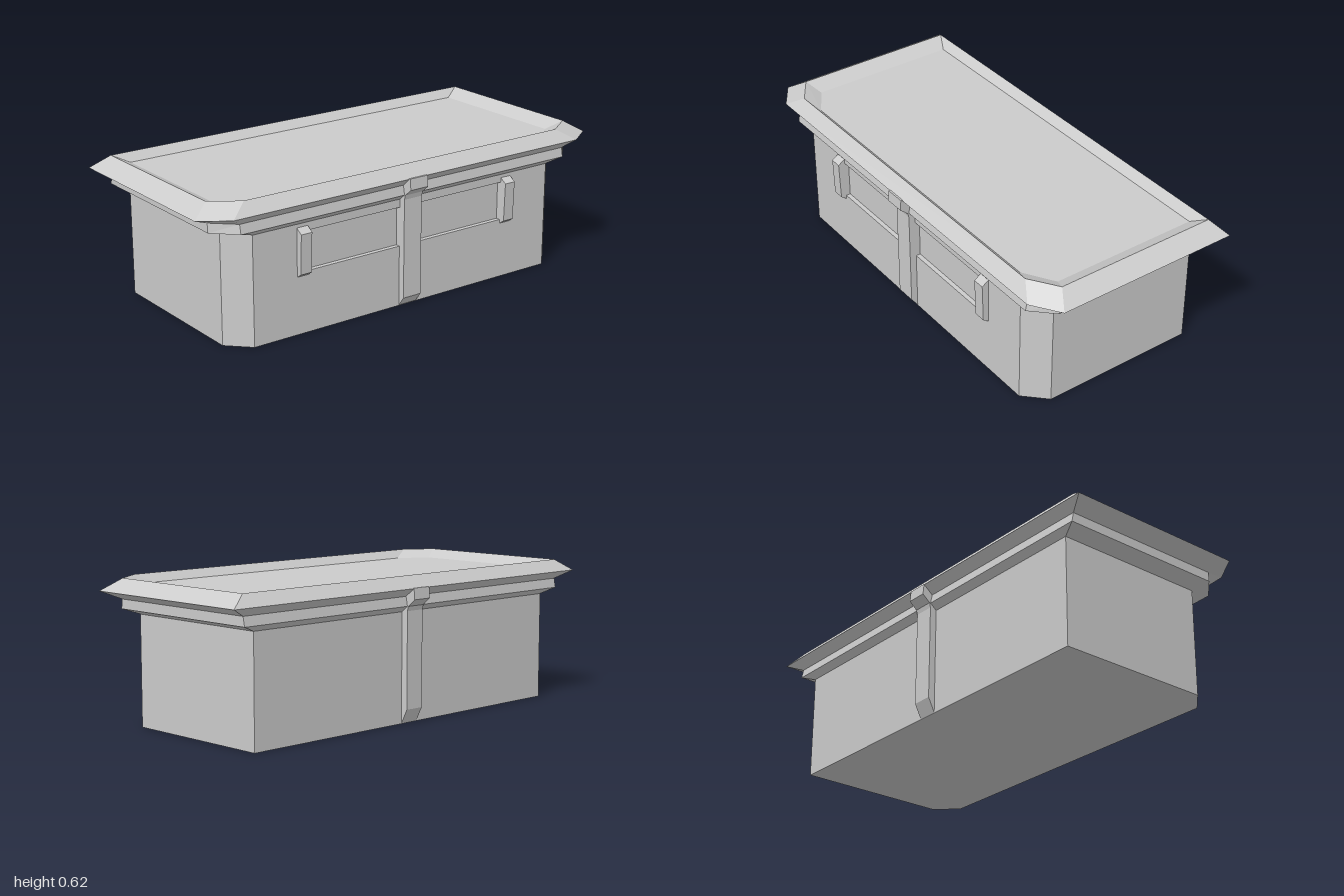
import * as THREE from 'three';

const material = new THREE.MeshStandardMaterial({ color: 0xcccccc, flatShading: true });

function addMesh(parent, name, geometry) {
  const mesh = new THREE.Mesh(geometry, material);
  mesh.name = name;
  parent.add(mesh);
  return mesh;
}

// Joins equal-sized rings of points with flat quads; caps and one open side are optional
function loft(rings, { capStart = false, capEnd = false, skip = -1 } = {}) {
  const pos = [];
  const tri = (...pts) => pts.forEach((p) => pos.push(...p));
  const n = rings[0].length;
  for (let r = 0; r + 1 < rings.length; r++) {
    for (let i = 0; i < n; i++) {
      if (i === skip) continue;
      const j = (i + 1) % n, lo = rings[r], hi = rings[r + 1];
      tri(lo[i], lo[j], hi[j]);
      tri(lo[i], hi[j], hi[i]);
    }
  }
  const first = rings[0], last = rings[rings.length - 1];
  for (let i = 1; i + 1 < n; i++) {
    if (capStart) tri(first[0], first[i + 1], first[i]);
    if (capEnd) tri(last[0], last[i], last[i + 1]);
  }
  const geo = new THREE.BufferGeometry();
  geo.setAttribute('position', new THREE.Float32BufferAttribute(pos, 3));
  geo.computeVertexNormals();
  return geo;
}

// Rectangle with the two front corners cut off
function outline(y, hx, front, back, cutX, cutZ) {
  return [
    [-hx + cutX, y, front], [hx - cutX, y, front], [hx, y, front - cutZ],
    [hx, y, -back], [-hx, y, -back], [-hx, y, front - cutZ],
  ];
}

// Rectangle in the front plane, counter-clockwise from the front
const panel = (x, y0, y1, z) => [[-x, y0, z], [x, y0, z], [x, y1, z], [-x, y1, z]];

// Side profile of [z, y] points extruded across x
function sideExtrude(points, width) {
  const shape = new THREE.Shape(points.map(([z, y]) => new THREE.Vector2(z, y)));
  const geo = new THREE.ExtrudeGeometry(shape, { depth: width, bevelEnabled: false });
  return geo.translate(0, 0, -width / 2).rotateY(-Math.PI / 2);
}

export function createModel() {
  const model = new THREE.Group();
  model.name = 'counter';

  // Body walls and base; the front wall is a separate face with a slot
  const bodyTop = 0.465;
  addMesh(model, 'body', loft([
    outline(0, 0.85, 0.39, 0.39, 0.09, 0.09),
    outline(bodyTop, 0.85, 0.39, 0.39, 0.09, 0.09),
  ], { capStart: true, skip: 0 }));

  const wall = new THREE.Shape(panel(0.76, 0, bodyTop, 0).map(([x, y]) => new THREE.Vector2(x, y)));
  wall.holes.push(new THREE.Path(panel(0.53, 0.262, 0.43, 0).map(([x, y]) => new THREE.Vector2(x, y))));
  addMesh(model, 'frontWall', new THREE.ShapeGeometry(wall).translate(0, 0, 0.39));
  addMesh(model, 'frontRecess', loft([
    panel(0.53, 0.262, 0.43, 0.39), panel(0.53, 0.262, 0.43, 0.37),
  ], { capEnd: true }));

  // Trim band under the top
  addMesh(model, 'trim', loft([
    outline(bodyTop, 0.85, 0.39, 0.39, 0.09, 0.09),
    outline(0.49, 0.92, 0.42, 0.42, 0.09, 0.09),
    outline(0.53, 0.92, 0.412, 0.412, 0.09, 0.085),
  ]));

  // Flared rim with a shallow tray
  addMesh(model, 'countertop', loft([
    outline(0.53, 0.92, 0.412, 0.412, 0.09, 0.085),
    outline(0.565, 1, 0.45, 0.455, 0.12, 0.08),
    outline(0.615, 0.92, 0.4, 0.41, 0.12, 0.08),
    outline(0.58, 0.85, 0.365, 0.375, 0.13, 0.08),
  ], { capEnd: true }));

  // Central straps, front and back
  const strap = (foot) => sideExtrude([
    [0.38, 0.002], [0.39, 0.002], [0.42, foot], [0.42, 0.47], [0.425, 0.49],
    [0.46, 0.52], [0.456, 0.567], [0.4, 0.567], [0.36, 0.45],
  ], 0.09);
  addMesh(model, 'frontStrap', strap(0.042));
  addMesh(model, 'backStrap', strap(0.062)).rotation.y = Math.PI;

  // Clips at the ends of the recess
  for (const side of [-1, 1]) {
    const clip = sideExtrude([
      [0.365, 0.245], [0.39, 0.245], [0.415, 0.262], [0.42, 0.43], [0.39, 0.45], [0.365, 0.45],
    ], 0.052);
    addMesh(model, side > 0 ? 'leftClip' : 'rightClip', clip).position.x = side * 0.528;
  }
  return model;
}
